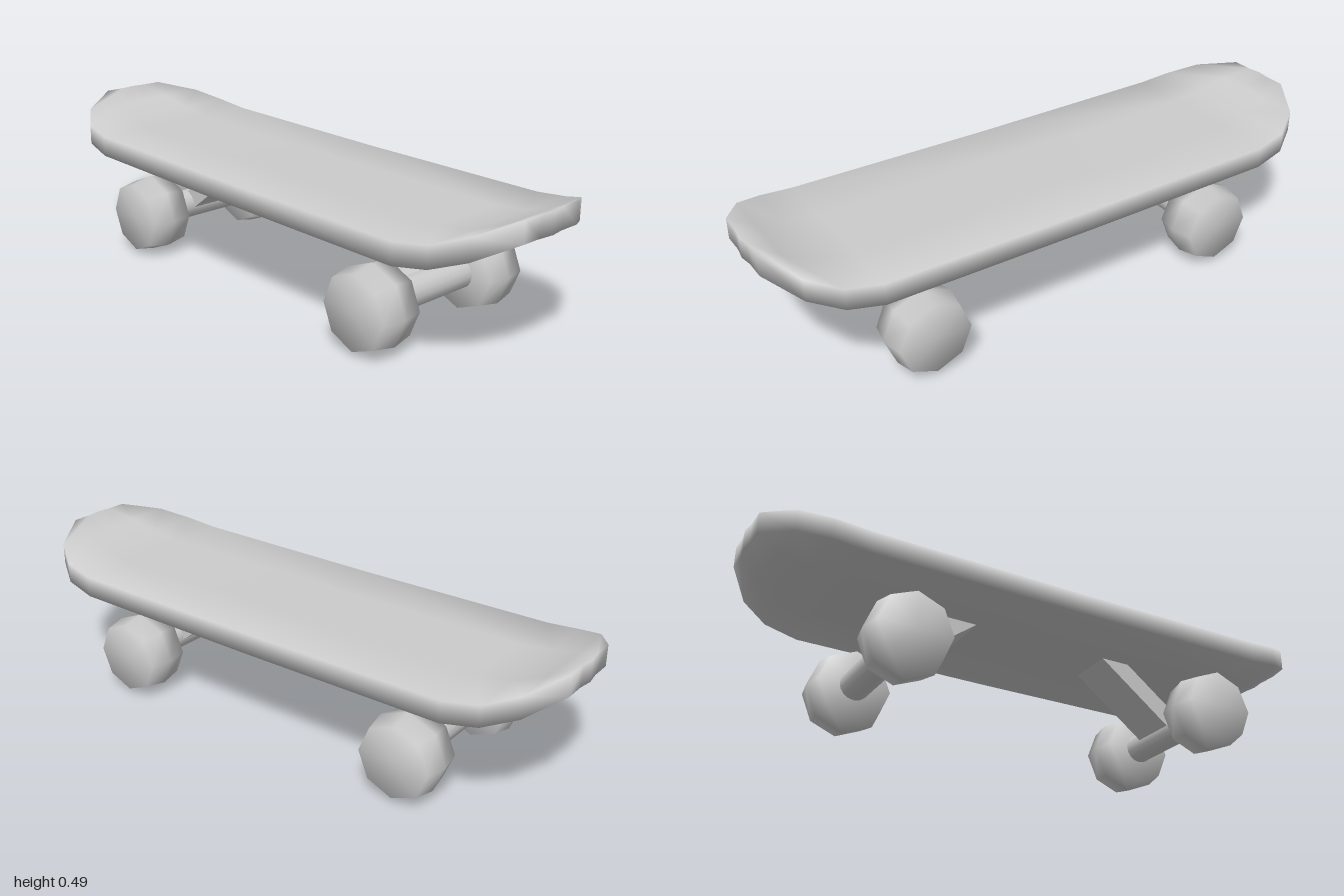
import * as THREE from 'three';

const material = new THREE.MeshStandardMaterial({ color: 0xcccccc });

// Deck stations for one end: z, half width, underside y, top y
const END = [
  [0.71, 0.32, 0.335, 0.406],
  [0.825, 0.304, 0.354, 0.423],
  [0.917, 0.245, 0.385, 0.456],
  [0.993, 0.116, 0.425, 0.494],
];

function makeDeck() {
  const mirrored = END.map(([z, ...rest]) => [-z, ...rest]).reverse();
  const stations = [...mirrored, [0, 0.32, 0.332, 0.402], ...END];
  const across = [-1, -0.4, 0, 0.4, 1];
  const ringSize = across.length * 2;
  const positions = [];
  const indices = [];

  // Each ring runs along the top from -x to +x, then back along the underside
  stations.forEach(([z, halfWidth, low, high], s) => {
    const isTip = s === 0 || s === stations.length - 1;
    const bulge = (f) => (isTip && f === 0 ? Math.sign(z) * 0.007 : 0);
    for (const f of across) positions.push(f * halfWidth, high, z + bulge(f));
    for (const f of [...across].reverse()) positions.push(f * halfWidth, low, z + bulge(f));
  });
  for (let s = 0; s < stations.length - 1; s++) {
    for (let i = 0; i < ringSize; i++) {
      const j = (i + 1) % ringSize;
      const a = s * ringSize + i, b = s * ringSize + j;
      const c = a + ringSize, d = b + ringSize;
      indices.push(a, c, b, b, c, d);
    }
  }

  // Tip faces
  const last = (stations.length - 1) * ringSize;
  for (let i = 0; i < across.length - 1; i++) {
    const p = i, q = i + 1, r = ringSize - 2 - i, t = ringSize - 1 - i;
    indices.push(p, q, r, p, r, t);
    indices.push(last + p, last + r, last + q, last + p, last + t, last + r);
  }

  const geometry = new THREE.BufferGeometry();
  geometry.setAttribute('position', new THREE.Float32BufferAttribute(positions, 3));
  geometry.setIndex(indices);
  geometry.computeVertexNormals();
  const deck = new THREE.Mesh(geometry, material);
  deck.name = 'deck';
  return deck;
}

function makeTruck(name) {
  const truck = new THREE.Group();
  truck.name = name;
  const axleY = 0.139, axleZ = 0.555;

  const axle = new THREE.Mesh(new THREE.CylinderGeometry(0.051, 0.051, 0.36, 16), material);
  axle.name = 'axle';
  axle.rotation.z = Math.PI / 2;
  axle.position.set(0, axleY, axleZ);
  truck.add(axle);

  // Slanted plate from the axle up to the deck, drawn in z and y
  const side = new THREE.Shape([
    [0.24, 0.337], [0.525, 0.122], [0.575, 0.165], [0.345, 0.337],
  ].map(([z, y]) => new THREE.Vector2(z, y)));
  const strutGeometry = new THREE.ExtrudeGeometry(side, { depth: 0.16, bevelEnabled: false });
  strutGeometry.translate(0, 0, -0.08).rotateY(-Math.PI / 2);
  const strut = new THREE.Mesh(strutGeometry, material);
  strut.name = 'strut';
  truck.add(strut);

  // Eight-sided wheels with a slightly crowned tread
  const profile = [[0, -0.0755], [0.122, -0.0755], [0.137, 0], [0.122, 0.0755], [0, 0.0755]]
    .map(([r, h]) => new THREE.Vector2(r, h));
  const wheelGeometry = new THREE.LatheGeometry(profile, 8).rotateZ(Math.PI / 2);
  for (const sign of [1, -1]) {
    const wheel = new THREE.Mesh(wheelGeometry, material);
    wheel.name = sign > 0 ? 'leftWheel' : 'rightWheel';
    wheel.position.set(sign * 0.2325, axleY, axleZ);
    truck.add(wheel);
  }
  return truck;
}

export function createModel() {
  const model = new THREE.Group();
  model.name = 'skateboard';
  const rearTruck = makeTruck('rearTruck');
  rearTruck.rotation.y = Math.PI;
  // Turning the truck around swaps its sides
  const [a, b] = rearTruck.children.filter((part) => part.name.endsWith('Wheel'));
  [a.name, b.name] = [b.name, a.name];
  model.add(makeDeck(), makeTruck('frontTruck'), rearTruck);
  return model;
}
